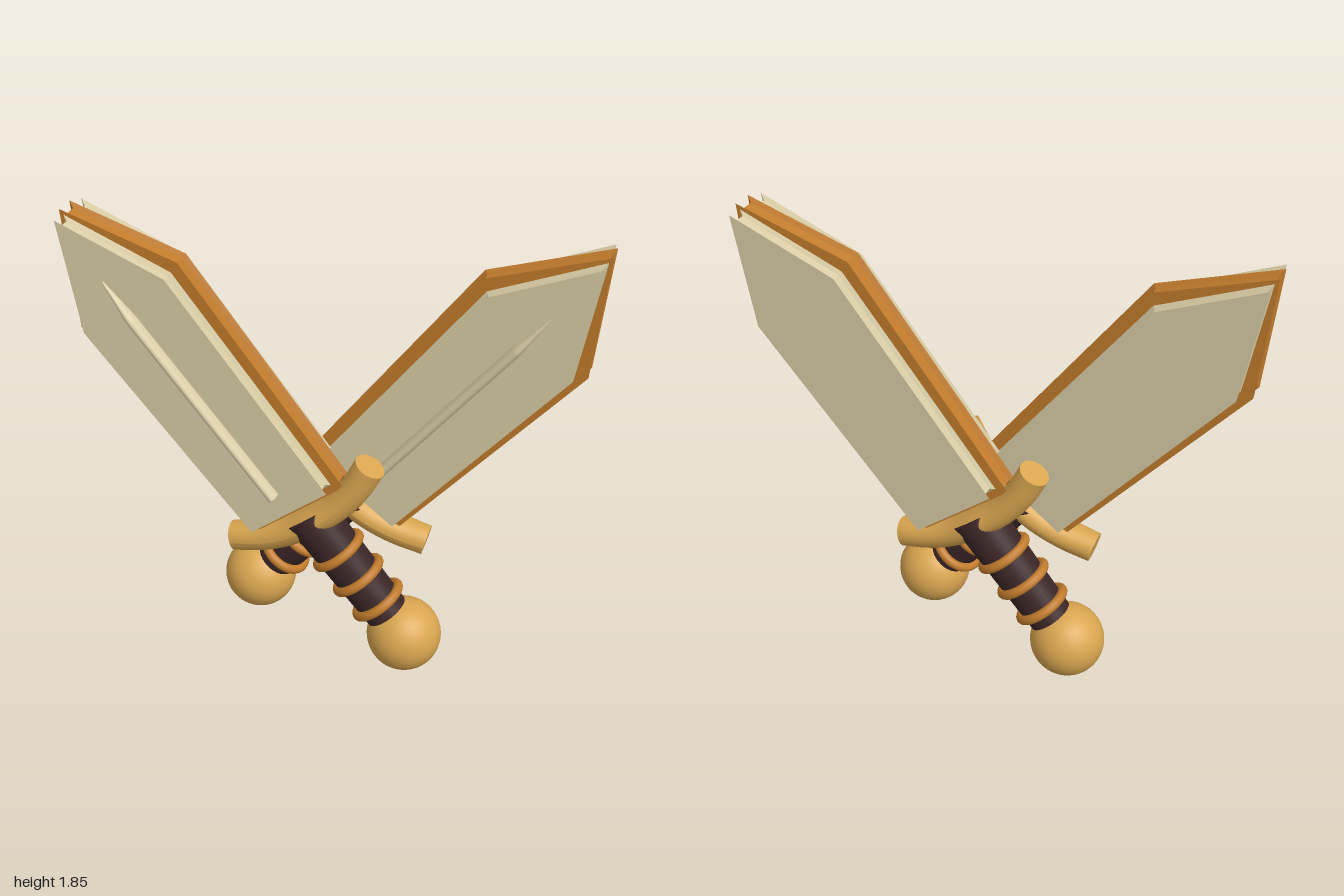
import * as THREE from 'three';

const material = (name, color) => {
  const m = new THREE.MeshStandardMaterial({ color });
  m.name = name;
  return m;
};

// Blade layer with hollowed edges: five-sided outlines stacked along z
function layerGeometry(base, y0, shoulder, y1, tip, z0, z1) {
  const lip = 0.012, hollow = 0.017;
  const outline = (z, i) => [
    [-base + i, y0 + i, z], [base - i, y0 + i, z],
    [shoulder - i, y1 - 0.3 * i, z], [0, tip - 1.8 * i, z], [-shoulder + i, y1 - 0.3 * i, z],
  ];
  const rings = [
    outline(z0, 0), outline(z0 + lip, hollow),
    outline(z1 - lip, hollow), outline(z1, 0),
  ];
  const pos = [];
  const tri = (...points) => points.forEach((p) => pos.push(...p));
  for (let r = 0; r < 3; r++) {
    for (let i = 0; i < 5; i++) {
      const j = (i + 1) % 5;
      const [a, b, c, d] = [rings[r][i], rings[r][j], rings[r + 1][j], rings[r + 1][i]];
      tri(a, b, c);
      tri(a, c, d);
    }
  }
  for (let i = 1; i < 4; i++) {
    tri(rings[3][0], rings[3][i], rings[3][i + 1]);
    tri(rings[0][0], rings[0][i + 1], rings[0][i]);
  }
  const g = new THREE.BufferGeometry();
  g.setAttribute('position', new THREE.Float32BufferAttribute(pos, 3));
  g.computeVertexNormals();
  return g;
}

// Curved crossguard, deeper in the middle than at its ends
function guardGeometry(curve) {
  const g = new THREE.TubeGeometry(curve, 40, 0.062, 24);
  const p = g.attributes.position;
  for (let i = 0; i < p.count; i++) {
    const swell = 1 + 0.5 * Math.max(0, 1 - Math.abs(p.getX(i)) / 0.36);
    p.setZ(i, p.getZ(i) * swell);
  }
  g.computeVertexNormals();
  return g;
}

export function createModel() {
  const ivory = material('ivory blade', 0xdacda6);
  const bronze = material('bronze edge', 0xc27c2c);
  const gold = material('gold fittings', 0xdaa650);
  const leather = material('dark leather', 0x3b2526);

  function createSword(name) {
    const sword = new THREE.Group();
    sword.name = name;
    const add = (part, geometry, mat) => {
      const mesh = new THREE.Mesh(geometry, mat);
      mesh.name = part;
      sword.add(mesh);
      return mesh;
    };

    // Pommel at the origin, blade pointing up
    add('pommel', new THREE.SphereGeometry(0.152, 40, 28), gold);

    // Grip with three binding rings
    const grip = add('grip', new THREE.CylinderGeometry(0.102, 0.09, 0.58, 32), leather);
    grip.position.y = 0.37;
    for (const y of [0.185, 0.32, 0.455]) {
      const ring = add('gripRing', new THREE.TorusGeometry(0.102, 0.02, 12, 40), bronze);
      ring.rotation.x = Math.PI / 2;
      ring.position.y = y;
    }

    // Crossguard with flat ends
    const path = [[-0.365, 0.712], [-0.25, 0.66], [-0.13, 0.63], [0, 0.625],
      [0.13, 0.63], [0.25, 0.66], [0.365, 0.712]];
    const curve = new THREE.CatmullRomCurve3(path.map(([x, y]) => new THREE.Vector3(x, y, 0)));
    add('guard', guardGeometry(curve), gold);
    for (const t of [0, 1]) {
      const end = add('guardEnd', new THREE.CircleGeometry(0.062, 24), gold);
      end.position.copy(curve.getPoint(t));
      const out = curve.getTangent(t).multiplyScalar(t ? 1 : -1);
      end.quaternion.setFromUnitVectors(new THREE.Vector3(0, 0, 1), out);
    }

    // Bronze core between two ivory faces
    add('bladeCore', layerGeometry(0.236, 0.70, 0.267, 1.768, 2.171, -0.042, 0.042), bronze);
    for (const [z0, z1] of [[0.04, 0.11], [-0.11, -0.04]]) {
      add('bladeFace', layerGeometry(0.2, 0.73, 0.222, 1.752, 2.15, z0, z1), ivory);
    }

    // Raised rib on the front face only
    const profile = [[0, 0.818], [0.04, 0.818], [0.04, 0.82], [0.038, 1.69], [0.036, 1.71],
      [0.006, 1.868], [0, 1.872]];
    const rib = add('bladeRib',
      new THREE.LatheGeometry(profile.map(([r, y]) => new THREE.Vector2(r, y)), 24), ivory);
    rib.scale.x = 0.55;
    rib.position.z = 0.11;
    return sword;
  }

  // Two crossed swords, one in front of the other
  const model = new THREE.Group();
  model.name = 'crossedSwords';
  for (const [name, side] of [['frontSword', 1], ['backSword', -1]]) {
    const sword = createSword(name);
    sword.position.set(side * 0.35, 0.152, side * 0.104);
    sword.rotation.z = side * 0.671;
    model.add(sword);
  }
  return model;
}
